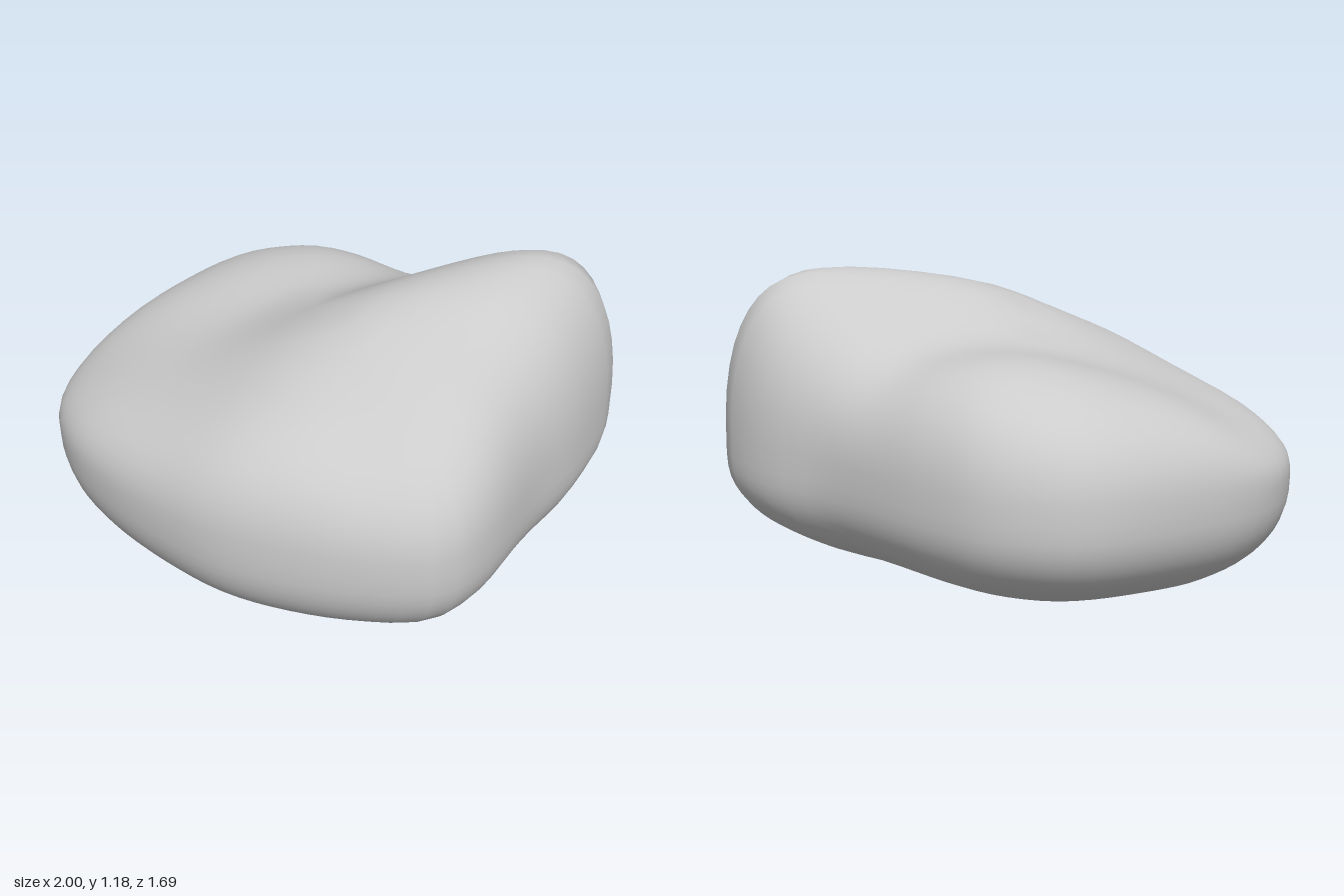
import * as THREE from 'three';

// Plan outline of the stone as [x, z], going round from +x towards +z
const OUTLINE = [
  [0.96, 0], [0.94, 0.38], [0.87, 0.56], [0.62, 0.71], [0.33, 0.805], [0.09, 0.84],
  [-0.15, 0.82], [-0.45, 0.755], [-0.7, 0.65], [-0.9, 0.47], [-1, 0.19], [-0.94, -0.23],
  [-0.78, -0.62], [-0.53, -0.79], [-0.26, -0.83], [0.3, -0.815], [0.64, -0.845],
  [0.94, -0.75], [1, -0.36],
];

// Heights of the upper surface as [x, y, z]
const HEIGHTS = [
  // diagonal ridge, sinking towards the front right
  [0.84, 1.07, -0.65], [0.64, 1.17, -0.41], [0.4, 1.16, -0.15], [0.22, 1.1, 0.05],
  [0.05, 1.0, 0.24], [-0.1, 0.88, 0.42], [-0.3, 0.78, 0.5], [-0.57, 0.73, 0.42],
  [-0.82, 0.64, 0.32],
  // back lobe
  [-0.2, 0.9, -0.62], [-0.5, 0.86, -0.56], [-0.28, 0.94, -0.38], [-0.62, 0.86, -0.3],
  [-0.84, 0.73, -0.16],
  // hollow between lobe and ridge
  [0.02, 0.95, -0.28], [0.2, 0.91, -0.58], [0.42, 1.05, -0.6], [-0.2, 0.9, 0.02],
  [-0.5, 0.82, 0.08],
  // front and left slopes
  [0.3, 0.96, 0.42], [0.6, 1.05, 0.08], [0.83, 1.08, -0.3], [0.6, 0.91, 0.42],
  [0.8, 0.95, 0.12], [0.05, 0.87, 0.58], [0.2, 0.79, 0.72], [-0.2, 0.74, 0.68],
];

const MID = 0.46;                          // height of the widest ring
const P = 0.68, Q_TOP = 0.8, Q_BASE = 0.8; // roundness of the cross-section
const BACK_RISE = 0.08;                    // slope of the underside at the back
const SIGMA = 0.23;                        // smoothing of the height controls

// Outline radius at any angle
const curve = new THREE.CatmullRomCurve3(
  OUTLINE.map(([x, z]) => new THREE.Vector3(x, 0, z)), true, 'centripetal');
const TAU = Math.PI * 2;
const polar = curve.getPoints(400)
  .map((p) => ({ a: (Math.atan2(p.z, p.x) + TAU) % TAU, r: Math.hypot(p.x, p.z) }))
  .sort((m, n) => m.a - n.a);

function radiusAt(angle) {
  const a = (angle + TAU) % TAU;
  const i = polar.findIndex((p) => p.a >= a);
  if (i <= 0) return polar[0].r;
  const m = polar[i - 1], n = polar[i];
  return THREE.MathUtils.lerp(m.r, n.r, (a - m.a) / Math.max(1e-6, n.a - m.a));
}

// Controls raised to undo the rounding towards the rim
const controls = HEIGHTS.map(([x, y, z]) => {
  const t = Math.min(0.93, Math.hypot(x, z) / radiusAt(Math.atan2(z, x)));
  const target = (y - MID) / Math.pow(1 - Math.pow(t, 2 / P), Q_TOP / 2);
  return { x, z, target, h: target };
});

// Smooth blend of the raised heights
function crown(x, z) {
  let sum = 0, weight = 0;
  for (const c of controls) {
    const d2 = (x - c.x) ** 2 + (z - c.z) ** 2;
    const w = Math.exp(-d2 / (2 * SIGMA * SIGMA)) + 1e-6;
    sum += w * c.h;
    weight += w;
  }
  return sum / weight;
}

// Sharpen the blend so that it meets its targets
for (let k = 0; k < 5; k++) {
  const errors = controls.map((c) => c.target - crown(c.x, c.z));
  controls.forEach((c, i) => { c.h += errors[i]; });
}

function stoneGeometry(rings = 36, sides = 72) {
  const pos = [], index = [];
  const radii = Array.from({ length: sides }, (_, j) => radiusAt((j / sides) * TAU));

  // Rings from the top pole over the rim to the bottom pole
  pos.push(0, MID + crown(0, 0), 0);
  for (let i = 1; i < rings; i++) {
    const v = (i / rings) * Math.PI;
    const t = Math.pow(Math.sin(v), P);
    const c = Math.abs(Math.cos(v));
    for (let j = 0; j < sides; j++) {
      const a = (j / sides) * TAU;
      const x = Math.cos(a) * radii[j] * t, z = Math.sin(a) * radii[j] * t;
      const y = v < Math.PI / 2
        ? MID + crown(x, z) * Math.pow(c, Q_TOP)
        : MID - (MID - BACK_RISE * Math.max(0, -z)) * Math.pow(c, Q_BASE);
      pos.push(x, y, z);
    }
  }
  pos.push(0, 0, 0);

  const id = (i, j) => 1 + (i - 1) * sides + (j % sides);
  const last = pos.length / 3 - 1;
  for (let j = 0; j < sides; j++) {
    index.push(0, id(1, j + 1), id(1, j));
    for (let i = 1; i < rings - 1; i++) {
      const a = id(i, j), b = id(i, j + 1), c = id(i + 1, j), d = id(i + 1, j + 1);
      index.push(a, b, c, b, d, c);
    }
    index.push(last, id(rings - 1, j), id(rings - 1, j + 1));
  }

  const geo = new THREE.BufferGeometry();
  geo.setAttribute('position', new THREE.Float32BufferAttribute(pos, 3));
  geo.setIndex(index);
  geo.computeVertexNormals();
  return geo;
}

export function createModel() {
  const group = new THREE.Group();
  group.name = 'rock';
  const stone = new THREE.Mesh(
    stoneGeometry(), new THREE.MeshStandardMaterial({ color: 0xcccccc }));
  stone.name = 'stone';
  group.add(stone);
  return group;
}
